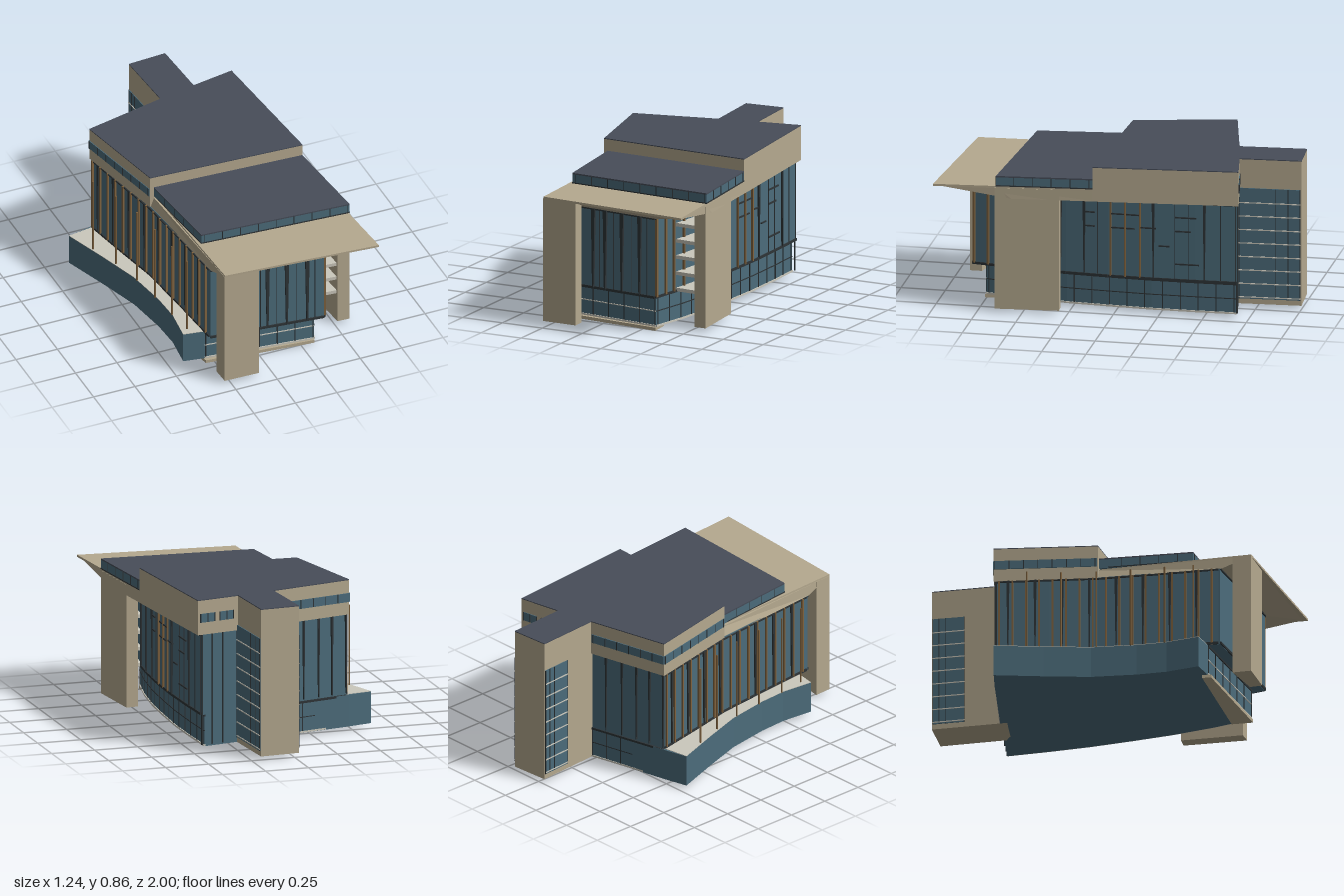
import * as THREE from 'three';

const mat = (color) => new THREE.MeshStandardMaterial({ color, flatShading: true });
const TAN = mat(0xb5a98f), ROOF = mat(0x474d59), GLASS = mat(0x4c6c7b),
  DARK = mat(0x2e3437), WOOD = mat(0x80633f), PALE = mat(0xcbc8bc);

// Solid between a plan outline [x, z] at y0 and a matching one at y1
function prism(name, material, outline, y0, y1, topOutline = outline) {
  let low = outline.map(([x, z]) => new THREE.Vector2(x, z));
  let high = topOutline.map(([x, z]) => new THREE.Vector2(x, z));
  if (THREE.ShapeUtils.area(low) < 0) { low.reverse(); high.reverse(); }
  const pos = [];
  const put = (p, y) => pos.push(p.x, y, p.y);
  low.forEach((p, i) => {
    const j = (i + 1) % low.length;
    put(p, y0); put(high[i], y1); put(high[j], y1);
    put(p, y0); put(high[j], y1); put(low[j], y0);
  });
  for (const [a, b, c] of THREE.ShapeUtils.triangulateShape(low, [])) {
    put(low[a], y0); put(low[b], y0); put(low[c], y0);
    put(high[a], y1); put(high[c], y1); put(high[b], y1);
  }
  const geo = new THREE.BufferGeometry();
  geo.setAttribute('position', new THREE.Float32BufferAttribute(pos, 3));
  geo.computeVertexNormals();
  const mesh = new THREE.Mesh(geo, material);
  mesh.name = name;
  return mesh;
}

const pathOf = (pts) => new THREE.Path(pts.map(([x, z]) => new THREE.Vector2(x, z)));
const even = (n, a = 0, b = 1) => Array.from({ length: n }, (_, i) => a + (b - a) * i / (n - 1));

// Upright bars at fractions along a plan line; foot < 1 narrows them downwards
function uprights(name, material, pts, fractions, y0, y1, width = 0.008, depth = 0.02, foot = 1) {
  const group = new THREE.Group();
  group.name = name;
  const path = pathOf(pts);
  for (const u of fractions) {
    const geo = new THREE.BoxGeometry(width, y1 - y0, depth);
    const p = geo.attributes.position;
    for (let i = 0; i < p.count; i++) if (p.getY(i) < 0) p.setX(i, p.getX(i) * foot);
    const bar = new THREE.Mesh(geo, material);
    const at = path.getPointAt(u), t = path.getTangentAt(u);
    bar.position.set(at.x, (y0 + y1) / 2, at.y);
    bar.rotation.y = Math.atan2(-t.y, t.x);
    group.add(bar);
  }
  return group;
}

// Band following a plan line
function band(name, material, pts, y, height, depth = 0.01) {
  const group = new THREE.Group();
  group.name = name;
  for (let i = 0; i + 1 < pts.length; i++) {
    const [ax, az] = pts[i], [bx, bz] = pts[i + 1];
    const m = new THREE.Mesh(new THREE.BoxGeometry(Math.hypot(bx - ax, bz - az), height, depth), material);
    m.position.set((ax + bx) / 2, y, (az + bz) / 2);
    m.rotation.y = Math.atan2(az - bz, bx - ax);
    group.add(m);
  }
  return group;
}

export function createModel() {
  const model = new THREE.Group();
  const add = (...m) => model.add(...m);

  // Facade lines in plan
  const terraceEdge = [[-0.62, -0.46], [-0.53, -0.2], [-0.45, 0.05], [-0.41, 0.3], [-0.4, 0.47], [-0.42, 0.66]];
  const lowFront = [[-0.3, 0.68], [0.33, 0.75]];
  const lowRight = [[0.33, 0.75], [0.375, 0.52], [0.405, 0.28], [0.42, 0.04], [0.43, -0.2], [0.428, -0.45], [0.42, -0.68]];
  const upLeft = [[-0.47, -0.485], [-0.415, -0.2], [-0.36, 0.065], [-0.325, 0.4], [-0.295, 0.74]];
  const upFront = [[-0.295, 0.75], [0.36, 0.82]];
  const upRight = [[0.36, 0.82], [0.405, 0.55], [0.435, 0.28], [0.45, 0.04], [0.455, -0.2], [0.45, -0.45], [0.44, -0.685]];
  const backRight = [[0.44, -0.685], [0.22, -0.645]];
  const backLeft = [[0, -0.6], [-0.47, -0.49]];

  // Ground floor, terrace and step
  add(prism('groundFloor', GLASS, [...terraceEdge, ...lowFront, ...lowRight.slice(1), [0.22, -0.64], [0, -0.6], [-0.48, -0.495]], 0.02, 0.2));
  add(prism('terrace', PALE, [...terraceEdge, [-0.3, 0.68], ...upLeft.slice().reverse()], 0.2, 0.203));
  add(prism('frontStep', TAN, [[-0.31, 0.65], [0.32, 0.64], [0.33, 0.76], [-0.3, 0.7]], 0, 0.018));
  for (const [line, n] of [[lowFront, 7], [lowRight, 15], [backLeft, 6]]) {
    add(uprights('groundMullions', DARK, line, even(n, 0.01, 0.99), 0.03, 0.19, 0.005, 0.008));
    add(band('groundRail', line === lowFront ? PALE : DARK, line, 0.11, 0.005, 0.008));
    add(band('groundHead', DARK, line, 0.195, 0.012, 0.012), band('groundSill', PALE, line, 0.026, 0.01, 0.01));
  }

  // Upper glazed hall
  add(prism('upperGlazing', GLASS, [...upLeft, ...upFront, ...upRight.slice(1), [0.22, -0.645], [0, -0.6]], 0.2, 0.665));
  for (const line of [upFront, upRight, upLeft]) {
    add(band('glazingSill', DARK, line, 0.208, 0.014, 0.014), band('glazingHead', DARK, line, 0.655, 0.008, 0.014));
  }
  add(uprights('frontFins', DARK, upFront, [0.38, 0.5, 0.67, 0.85], 0.21, 0.66, 0.024, 0.025, 0.35));
  add(uprights('frontMullions', DARK, upFront, [0.44, 0.58, 0.76, 0.92], 0.21, 0.66, 0.003, 0.006));
  add(uprights('cornerPosts', WOOD, upRight, [0.005, 0.06, 0.11, 0.17], 0.21, 0.66, 0.012, 0.025));
  add(uprights('rightWoodFins', WOOD, upRight, [0.53, 0.585, 0.64], 0.21, 0.66, 0.009, 0.022));
  add(uprights('rightFins', DARK, upRight, [0.25, 0.34, 0.43, 0.69, 0.88], 0.21, 0.66, 0.016, 0.02, 0.3));
  add(uprights('rightMullions', DARK, upRight, [0.48, 0.77, 0.82, 0.94, 0.995], 0.21, 0.66, 0.004, 0.008));
  for (const [a, b, y] of [[0.43, 0.47, 0.57], [0.43, 0.47, 0.49], [0.53, 0.64, 0.57], [0.53, 0.62, 0.49], [0.64, 0.7, 0.5],
    [0.77, 0.85, 0.57], [0.77, 0.83, 0.49], [0.77, 0.86, 0.3], [0.71, 0.75, 0.4]]) {
    const path = pathOf(upRight);
    add(band('rightTransom', DARK, [a, b].map((u) => path.getPointAt(u).toArray()), y, 0.008, 0.014));
  }
  add(uprights('leftWoodFins', WOOD, upLeft, even(17, 0.01, 0.97), 0.21, 0.66, 0.01, 0.022));
  add(uprights('leftFins', DARK, upLeft, even(8, 0.05, 0.9), 0.21, 0.66, 0.016, 0.018, 0.3));
  add(uprights('backFins', DARK, backLeft, [0.2, 0.42, 0.62, 0.8, 0.99], 0.21, 0.66, 0.012, 0.014, 0.35));
  add(uprights('backMullions', DARK, backRight, [0.02, 0.3, 0.6], 0.03, 0.66, 0.006, 0.01));

  // Free-standing terrace posts
  for (const [x, z] of [[-0.55, -0.29], [-0.49, -0.11], [-0.445, 0.08], [-0.42, 0.27], [-0.4, 0.46], [-0.38, 0.62]]) {
    const post = new THREE.Mesh(new THREE.CylinderGeometry(0.005, 0.005, 0.46, 6), WOOD);
    post.name = 'terracePost';
    post.position.set(x, 0.43, z);
    add(post);
  }

  // Front canopy: thin plate over a soffit that slopes down to the glazing
  add(prism('canopyPlate', TAN, [[-0.325, 0.06], [0.538, 0.1], [0.615, 0.995], [-0.283, 0.925]], 0.718, 0.73));
  add(prism('canopySoffit', TAN, [[-0.36, 0.03], [0.536, 0.08], [0.58, 0.56], [0.37, 0.83], [-0.295, 0.76]], 0.66, 0.719,
    [[-0.34, 0.03], [0.536, 0.08], [0.585, 0.64], [0.6, 0.97], [-0.283, 0.91]]));

  // Piers
  add(prism('leftPier', TAN, [[-0.285, 0.925], [-0.08, 0.93], [-0.08, 0.86], [-0.29, 0.82]], 0.02, 0.72));
  add(prism('rightPier', TAN, [[0.515, 0.648], [0.587, 0.652], [0.556, 0.295], [0.487, 0.3]], 0.02, 0.72));

  // Shelves between the right pier and the glazing
  for (let i = 0; i < 6; i++) {
    const y = 0.215 + i * 0.0925;
    add(prism('shelf', PALE, [[0.385, 0.63], [0.515, 0.64], [0.5, 0.46], [0.4, 0.46]], y - 0.01, y + 0.01));
  }

  // Lower roof with its clerestory
  const lowRoof = [[-0.34, 0.05], [0.538, 0.1], [0.59, 0.645], [-0.28, 0.59]];
  add(prism('clerestory', GLASS, lowRoof, 0.73, 0.782), prism('lowerRoof', ROOF, lowRoof, 0.782, 0.79));
  const clere = [[-0.335, 0.065], [-0.28, 0.59], [0.59, 0.645], [0.54, 0.11]];
  add(uprights('clerestoryMullions', DARK, clere, even(19, 0.01, 0.99), 0.733, 0.785, 0.004, 0.006));
  add(band('clerestorySill', DARK, clere, 0.734, 0.006, 0.006));

  // Upper block and its window strips
  const block = [[-0.48, -0.5], [0, -0.61], [0.22, -0.655], [0.465, -0.7], [0.54, 0.11], [-0.36, 0.065]];
  add(prism('upperBlock', TAN, block, 0.66, 0.855), prism('upperRoof', ROOF, block, 0.855, 0.86));
  const strip = [[-0.36, 0.06], [-0.48, -0.5], [-0.01, -0.608]];
  add(band('windowStrip', GLASS, strip, 0.757, 0.05, 0.01));
  add(uprights('windowStripMullions', DARK, strip, even(14, 0.01, 0.99), 0.732, 0.782, 0.005, 0.014));
  for (const [a, b] of [[0.245, 0.33], [0.36, 0.45]]) {
    const edge = [a, b].map((x) => [x, -0.655 - (x - 0.22) * 0.184]);
    add(band('backWindow', GLASS, edge, 0.755, 0.05, 0.008));
    add(uprights('backWindowMullions', DARK, edge, [0.01, 0.5, 0.99], 0.73, 0.78, 0.005, 0.012));
  }

  // Rear tower with glazed sides
  const tower = [[-0.03, -0.985], [0.195, -1], [0.22, -0.6], [0, -0.56]];
  add(prism('tower', TAN, tower, 0.02, 0.855), prism('towerRoof', ROOF, tower, 0.855, 0.86));
  const rightSide = [[0.196, -0.995], [0.218, -0.65]], leftSide = [[-0.03, -0.98], [-0.016, -0.8]];
  for (const side of [rightSide, leftSide]) {
    add(band('towerGlass', GLASS, side, 0.37, 0.64, 0.008));
    for (let i = 0; i < 8; i++) add(band('towerRail', PALE, side, 0.06 + i * 0.078, 0.006, 0.014));
    add(uprights('towerMullions', DARK, side, [0.01, 0.2, 0.4, 0.99], 0.05, 0.69, 0.004, 0.012));
  }
  return model;
}
